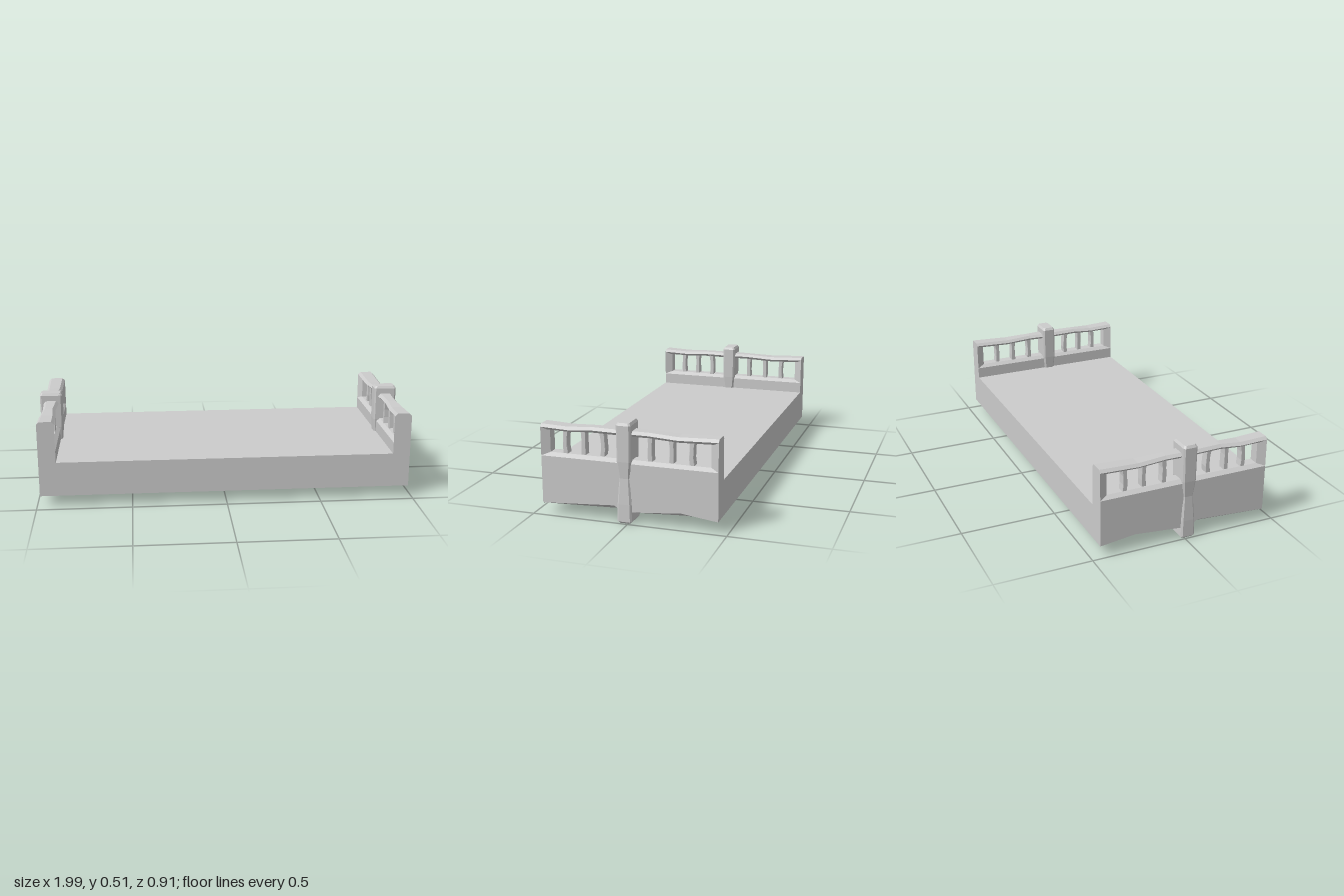
import * as THREE from 'three';

const material = new THREE.MeshStandardMaterial({ color: 0xcccccc, flatShading: true, side: THREE.DoubleSide });

// Skin a row of convex rings (arrays of [x, y, z]) and cap both ends; s = -1 mirrors across x.
function loft(name, rings, s) {
  const pos = [];
  const tri = (a, b, c) => {
    for (const p of s > 0 ? [a, b, c] : [a, c, b]) pos.push(p[0] * s, p[1], p[2]);
  };
  const n = rings[0].length;
  for (let k = 0; k < rings.length - 1; k++) {
    const a = rings[k], b = rings[k + 1];
    for (let i = 0; i < n; i++) {
      const j = (i + 1) % n;
      tri(a[i], a[j], b[j]);
      tri(a[i], b[j], b[i]);
    }
  }
  const first = rings[0], last = rings[rings.length - 1];
  for (let i = 1; i < n - 1; i++) {
    tri(first[0], first[i + 1], first[i]);
    tri(last[0], last[i], last[i + 1]);
  }
  const geometry = new THREE.BufferGeometry();
  geometry.setAttribute('position', new THREE.Float32BufferAttribute(pos, 3));
  geometry.computeVertexNormals();
  const mesh = new THREE.Mesh(geometry, material);
  mesh.name = name;
  return mesh;
}

// Horizontal ring with chamfered corners at height y.
function levelRing(y, z0, z1, x0, x1, c) {
  return [
    [z0 + c, x0], [z1 - c, x0], [z1, x0 + c], [z1, x1 - c],
    [z1 - c, x1], [z0 + c, x1], [z0, x1 - c], [z0, x0 + c],
  ].map(([z, x]) => [x, y, z]);
}

// Solid lower wall; its outer bottom edge is chipped in two long wedges.
function lowerWall(s) {
  const edge = [[-0.453, 0.06], [-0.27, 0.083], [-0.02, 0.06], [0.05, 0.071], [0.075, 0.086], [0.453, 0.06]];
  return loft('sideWall', edge.map(([z, y]) => [
    [0.892, 0.06, z], [0.945, 0.06, z], [0.983, y, z], [0.983, 0.305, z],
    [0.962, 0.321, z], [0.912, 0.321, z], [0.892, 0.305, z],
  ]), s);
}

// Worn top rail: z, bottom, top, inner x, outer x.
function topRail(s) {
  const stations = [
    [-0.453, 0.437, 0.465, 0.892, 0.983], [-0.25, 0.430, 0.457, 0.894, 0.981],
    [-0.1, 0.435, 0.463, 0.902, 0.972], [0, 0.437, 0.465, 0.892, 0.978],
    [0.2, 0.437, 0.465, 0.902, 0.970], [0.31, 0.433, 0.459, 0.895, 0.981],
    [0.453, 0.437, 0.465, 0.892, 0.983],
  ];
  return loft('topRail', stations.map(([z, y0, y1, x0, x1]) => [
    [x0 + 0.014, y0, z], [x1 - 0.014, y0, z], [x1, y1 - 0.014, z],
    [x1 - 0.014, y1, z], [x0 + 0.014, y1, z], [x0, y1 - 0.014, z],
  ]), s);
}

// End post, tapered in thickness towards the railing opening; e picks the end.
function endPost(e, s) {
  const ring = (y) => {
    const r = [[0.892, y, 0.453 * e], [0.983, y, 0.453 * e], [0.962, y, 0.411 * e], [0.912, y, 0.411 * e]];
    return e > 0 ? r : r.reverse();
  };
  return loft('endPost', [ring(0.3), ring(0.451)], s);
}

// Hand-cut baluster with a slight bend and waist.
function baluster(z, bend, s) {
  const levels = [[0.315, 0, 0.0125], [0.355, bend, 0.0115], [0.4, bend * 0.6, 0.0105], [0.445, -bend * 0.5, 0.0135]];
  return loft('baluster', levels.map(([y, dz, h]) =>
    levelRing(y, z + dz - h, z + dz + h, 0.915 + bend, 0.958 + bend, 0.002)), s);
}

// Tall middle post with bevelled ends and a worn waist.
function middlePost(s) {
  const levels = [
    [0.002, -0.012, 0.047, 0.884, 0.988], [0.011, -0.02, 0.055, 0.875, 0.996],
    [0.1, -0.018, 0.053, 0.876, 0.995], [0.23, -0.01, 0.045, 0.882, 0.988],
    [0.315, -0.018, 0.054, 0.876, 0.995], [0.495, -0.02, 0.055, 0.875, 0.996],
    [0.508, -0.012, 0.047, 0.884, 0.988],
  ];
  return loft('middlePost', levels.map(([y, z0, z1, x0, x1]) => levelRing(y, z0, z1, x0, x1, 0.008)), s);
}

export function createModel() {
  const model = new THREE.Group();
  model.name = 'bridgeSection';

  const deck = new THREE.Mesh(new THREE.BoxGeometry(1.784, 0.183, 0.906), material);
  deck.position.y = 0.1515;
  deck.name = 'deck';
  model.add(deck);

  const balusters = [[0.33, 0.004], [0.238, 0], [0.142, -0.005], [-0.107, 0.002], [-0.212, -0.002], [-0.317, 0.004]];
  for (const s of [1, -1]) {
    const side = new THREE.Group();
    side.name = s > 0 ? 'leftParapet' : 'rightParapet';
    side.add(lowerWall(s), topRail(s), middlePost(s), endPost(1, s), endPost(-1, s));
    for (const [z, bend] of balusters) side.add(baluster(z, bend, s));
    model.add(side);
  }
  return model;
}
